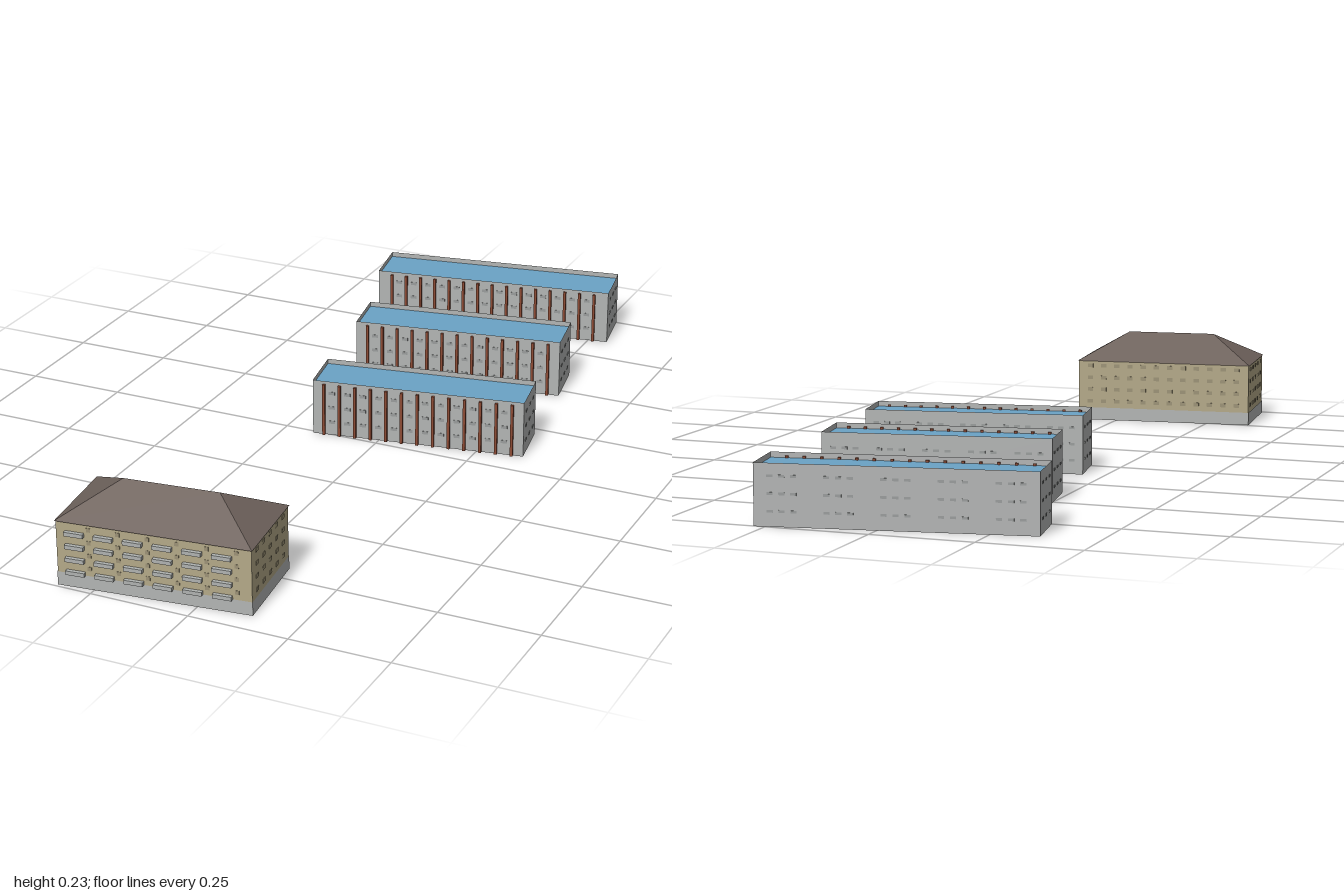
import * as THREE from 'three';

const mat = (name, color, side = THREE.FrontSide) => {
  const m = new THREE.MeshStandardMaterial({ color, side });
  m.name = name;
  return m;
};

export function createModel() {
  const concrete = mat('concrete', 0xb3b5b4, THREE.DoubleSide);
  const plaster = mat('plaster', 0xb4a988, THREE.DoubleSide);
  const tiles = mat('roof tiles', 0x6e625c, THREE.DoubleSide);
  const blueRoof = mat('blue roof', 0x6ba3c6, THREE.DoubleSide);
  const rust = mat('rust', 0x8c4a34);
  const balconyGrey = mat('balcony grey', 0xb0b3b1);
  const tanWindow = mat('tan window', 0x9c9276);
  const greyWindow = mat('grey window', 0x9a9d9c);

  const add = (parent, name, geo, material, x = 0, y = 0, z = 0) => {
    const m = new THREE.Mesh(geo, material);
    m.name = name;
    m.position.set(x, y, z);
    parent.add(m);
    return m;
  };

  // Four walls without floor or ceiling
  const shell = (w, h, d) => {
    const g = new THREE.BoxGeometry(w, h, d);
    const i = Array.from(g.index.array);
    g.setIndex([...i.slice(0, 12), ...i.slice(24)]);
    g.clearGroups();
    return g.translate(0, h / 2, 0);
  };

  // Rows of thin window plates on one wall; turn 0 front, 1 side +x, 2 back, 3 side -x
  const windows = (parent, turn, dist, xs, ys, w, h, material) => {
    const wall = new THREE.Group();
    wall.name = 'windows';
    wall.rotation.y = turn * Math.PI / 2;
    const geo = new THREE.BoxGeometry(w, h, 0.002);
    for (const y of ys) for (const x of xs) add(wall, 'window', geo, material, x, y, dist);
    parent.add(wall);
  };
  const spread = (n, pitch) => Array.from({ length: n }, (_, i) => (i - (n - 1) / 2) * pitch);

  const place = (parent, name, x, z, angle) => {
    const g = new THREE.Group();
    g.name = name;
    g.position.set(x, 0, z);
    g.rotation.y = angle;
    parent.add(g);
    return g;
  };

  const model = new THREE.Group();
  model.name = 'buildings';

  // Hip-roofed house
  const W = 0.473, D = 0.236, EAVE = 0.163;
  const house = place(model, 'house', -0.117, 0.847, 0.113);
  add(house, 'walls', shell(W, EAVE, D), plaster);
  add(house, 'base', shell(W + 0.002, 0.034, D + 0.002), concrete);

  // Hip roof: four eave corners and two ridge ends
  const a = 0.239, b = 0.121, r = 0.118, top = 0.233;
  const roof = new THREE.BufferGeometry();
  roof.setAttribute('position', new THREE.Float32BufferAttribute([
    -a, EAVE, b, a, EAVE, b, a, EAVE, -b, -a, EAVE, -b, -r, top, 0, r, top, 0], 3));
  roof.setIndex([0, 1, 5, 0, 5, 4, 1, 2, 5, 2, 3, 4, 2, 4, 5, 3, 0, 4, 0, 3, 2, 0, 2, 1]);
  const flatRoof = roof.toNonIndexed();
  flatRoof.computeVertexNormals();
  add(house, 'hipRoof', flatRoof, tiles);

  // Balconies in four rows of six
  const floors = [0, 1, 2, 3].map(i => 0.038 + i * 0.0328);
  const balcony = new THREE.BoxGeometry(0.046, 0.01, 0.01);
  for (const y of floors) for (const x of spread(6, 0.0715))
    add(house, 'balcony', balcony, balconyGrey, x - 0.012, y, D / 2 + 0.005);

  const houseRows = floors.map(y => y + 0.014);
  windows(house, 0, D / 2, spread(6, 0.0715).map(x => x + 0.022), houseRows, 0.01, 0.01, tanWindow);
  windows(house, 2, D / 2, spread(12, 0.037), houseRows, 0.015, 0.01, tanWindow);
  for (const t of [1, 3]) windows(house, t, W / 2, spread(5, 0.042), houseRows, 0.015, 0.01, tanWindow);

  // Three long blocks with sunken blue roofs and rust pilasters
  const block = (x, z, w, d, h) => {
    const g = place(model, 'longBlock', x, z, 0.17);
    add(g, 'walls', shell(w, h, d), concrete);
    const slab = new THREE.PlaneGeometry(w, d).rotateX(-Math.PI / 2);
    add(g, 'flatRoof', slab, blueRoof, 0, h - 0.013, 0);
    const n = Math.round(w / 0.042);
    const pilaster = new THREE.BoxGeometry(0.007, h - 0.008, 0.012);
    for (const px of spread(n, 0.0407)) add(g, 'pilaster', pilaster, rust, px, (h - 0.008) / 2, d / 2 + 0.001);
    const rows = [0.035, 0.075, 0.115];
    windows(g, 0, d / 2, spread(n - 1, 0.0407), rows, 0.016, 0.008, greyWindow);
    const groups = spread(5, w / 5).flatMap(c => spread(3, 0.027).map(o => c + o));
    windows(g, 2, d / 2, groups, rows, 0.014, 0.006, greyWindow);
    for (const t of [1, 3]) windows(g, t, w / 2, spread(3, 0.04), rows, 0.014, 0.006, greyWindow);
  };
  block(0.087, -0.105, 0.547, 0.139, 0.147);
  block(0.03, -0.49, 0.55, 0.141, 0.152);
  block(-0.03, -0.875, 0.647, 0.146, 0.144);

  return model;
}
